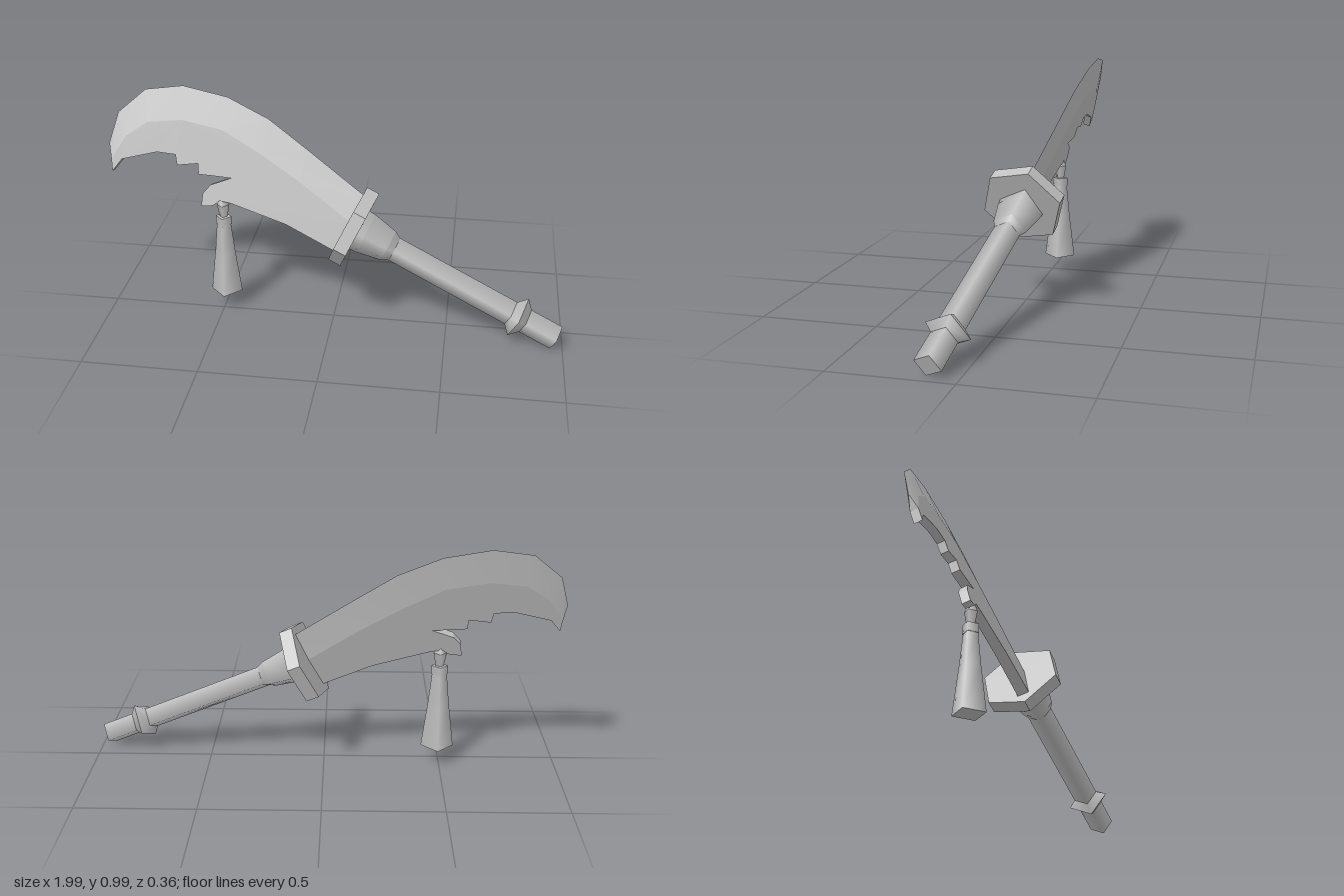
import * as THREE from 'three';

const TILT = 0.296;                 // the whole weapon leans back about x
const COS = Math.cos(TILT);
const steel = new THREE.MeshStandardMaterial({ color: 0xc0c0c0 });
steel.name = 'grey steel';

function add(parent, name, geometry) {
  const mesh = new THREE.Mesh(geometry, steel);
  mesh.name = name;
  parent.add(mesh);
  return mesh;
}

// Stack of four-sided smooth frustums along y; rings are [y, radius]
function stack(parent, name, rings) {
  const group = new THREE.Group();
  group.name = name;
  for (let i = 0; i < rings.length - 1; i++) {
    const [y0, r0] = rings[i], [y1, r1] = rings[i + 1];
    const g = new THREE.CylinderGeometry(r1, r0, y1 - y0, 4);
    g.translate(0, (y0 + y1) / 2, 0);
    add(group, name + 'Section' + (i + 1), g);
  }
  parent.add(group);
  return group;
}

// Blade half thickness, thinner towards the tip
const half = x => 0.017 + 0.009 * THREE.MathUtils.clamp((x + 0.7) / 0.8, 0, 1);

// Blade lines from tip to guard
const spine = [[-1, .745], [-.96, .875], [-.84, .975], [-.675, .997], [-.48, .96], [-.3, .88], [-.13, .765], [.14, .578]];
const ridge = [[-.985, .68], [-.92, .78], [-.826, .842], [-.675, .858], [-.495, .826], [-.323, .735], [-.15, .63], [.085, .47]];
const lower = [[-.98, .63], [-.938, .682], [-.783, .72], [-.7, .714], [-.692, .67], [-.6, .682], [-.596, .638], [-.452, .63],
  [-.543, .596], [-.575, .56], [-.582, .505], [-.53, .51], [-.5, .532], [-.452, .525], [-.206, .452], [.03, .345]];

// Thick lower plate with teeth and hook
function bladePlate() {
  const outline = [...lower, ...[...ridge].reverse()].map(([x, y]) => new THREE.Vector2(x, y / COS));
  const g = new THREE.ExtrudeGeometry(new THREE.Shape(outline), { depth: 1, bevelEnabled: false });
  const p = g.attributes.position;
  for (let i = 0; i < p.count; i++) p.setZ(i, (p.getZ(i) - 0.5) * 2 * half(p.getX(i)));
  g.computeVertexNormals();
  return g;
}

// Bevel from the ridge to the sharp spine, both sides plus the tip end
function bladeBevel() {
  const pos = [], index = [], n = spine.length;
  for (const side of [1, -1]) {
    const base = pos.length / 3;
    for (let i = 0; i < n; i++) {
      const [rx, ry] = ridge[i], [ux, uy] = spine[i];
      pos.push(rx, ry / COS, side * half(rx), ux, uy / COS, 0);
    }
    for (let i = 0; i < n - 1; i++) {
      const a = base + 2 * i, b = a + 1, c = a + 2, d = a + 3;
      if (side > 0) index.push(a, c, d, a, d, b);
      else index.push(a, d, c, a, b, d);
    }
  }
  const k = pos.length / 3, [rx, ry] = ridge[0], [ux, uy] = spine[0];
  pos.push(rx, ry / COS, -half(rx), rx, ry / COS, half(rx), ux, uy / COS, 0);
  index.push(k, k + 1, k + 2);
  const g = new THREE.BufferGeometry();
  g.setAttribute('position', new THREE.Float32BufferAttribute(pos, 3));
  g.setIndex(index);
  g.computeVertexNormals();
  return g;
}

export function createModel() {
  const model = new THREE.Group();
  model.name = 'broadSword';

  const sword = new THREE.Group();
  sword.name = 'sword';
  sword.position.z = 0.13;
  sword.rotation.x = -TILT;
  model.add(sword);

  add(sword, 'bladePlate', bladePlate());
  add(sword, 'bladeBevel', bladeBevel());

  // Hilt: local y runs from the guard down to the pommel
  const hilt = new THREE.Group();
  hilt.name = 'hilt';
  hilt.position.set(0.11, 0.465, 0);
  hilt.rotation.z = -(Math.PI / 2 + 0.444);
  sword.add(hilt);

  const guard = new THREE.CylinderGeometry(0.18, 0.18, 0.058, 6, 1, false, Math.PI / 2).toNonIndexed();
  guard.computeVertexNormals();
  guard.translate(0, -0.029, 0);
  add(hilt, 'guard', guard);

  stack(hilt, 'ferrule', [[0, 0.095], [0.03, 0.093], [0.14, 0.071], [0.17, 0.055]]);
  stack(hilt, 'grip', [[0.1, 0.055], [0.953, 0.055]]);
  stack(hilt, 'pommelRing', [[0.735, 0.055], [0.77, 0.092], [0.805, 0.055]]);

  // Tassel hanging straight down from the hook
  const tassel = new THREE.Group();
  tassel.name = 'tassel';
  tassel.position.set(-0.492, 0, -0.037);
  model.add(tassel);
  stack(tassel, 'bead', [[0.445, 0.016], [0.51, 0.028], [0.572, 0.002]]);
  stack(tassel, 'tasselCollar', [[0.415, 0.035], [0.453, 0.035]]);
  stack(tassel, 'tasselSkirt', [[0.08, 0.07], [0.28, 0.045], [0.42, 0.031]]);

  return model;
}
